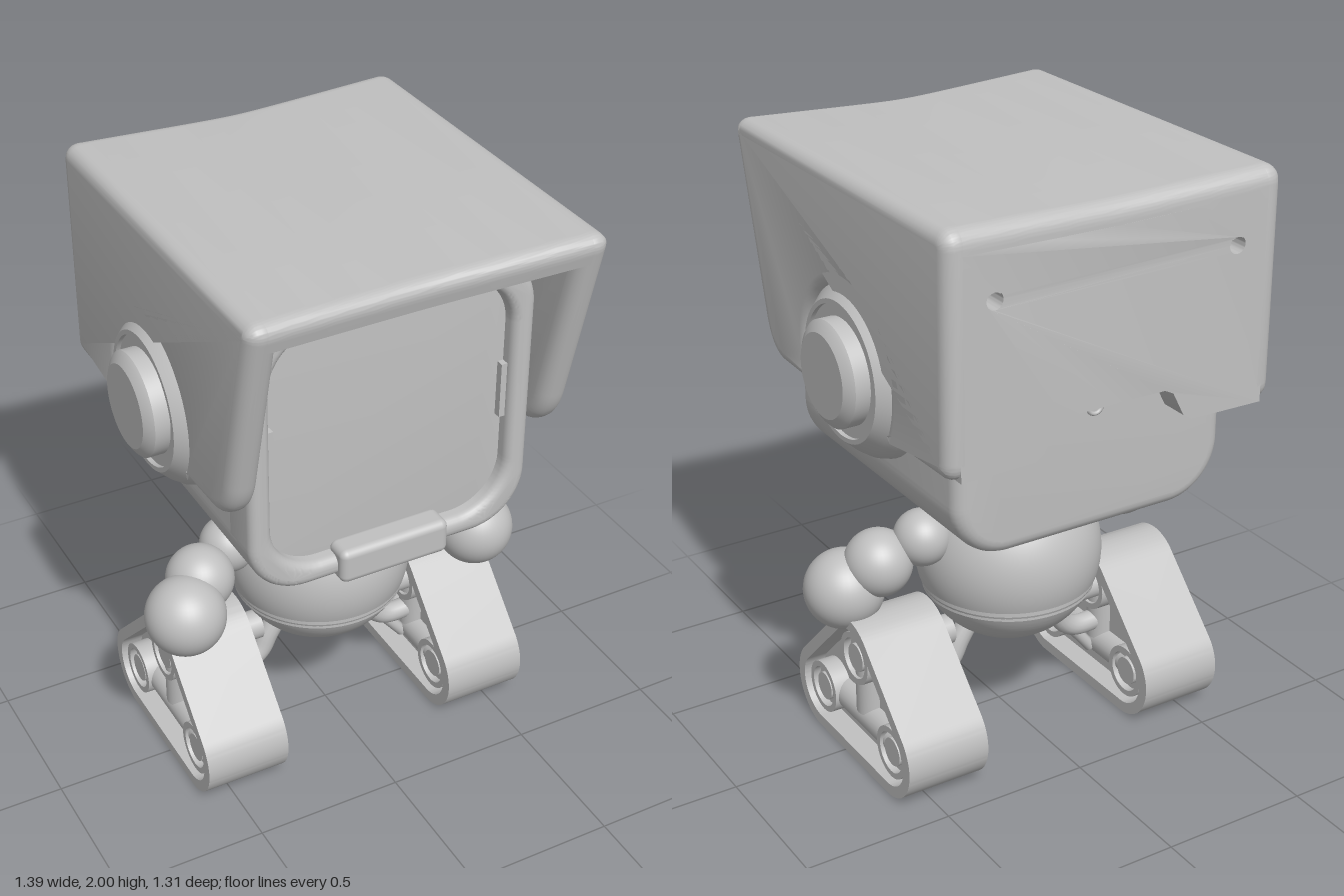
import * as THREE from 'three';
import { toCreasedNormals } from 'three/addons/utils/BufferGeometryUtils.js';
import { RoundedBoxGeometry } from 'three/addons/geometries/RoundedBoxGeometry.js';

const MID = -0.055; // z of the body's centre line

export function createModel() {
  const model = new THREE.Group();
  const grey = new THREE.MeshStandardMaterial({ color: 0xc0c0c0 });
  grey.name = 'light grey';

  const add = (name, geo, parent = model) => {
    const mesh = new THREE.Mesh(geo, grey);
    mesh.name = name;
    parent.add(mesh);
    return mesh;
  };
  // Extrude along z from a to b, bevel kept inside the outline
  const extrude = (shape, a, b, bevel = 0, steps = 1) => {
    const geo = new THREE.ExtrudeGeometry(shape, {
      depth: b - a - 2 * bevel, steps, curveSegments: 20, bevelEnabled: bevel > 0,
      bevelThickness: bevel, bevelSize: bevel, bevelOffset: -bevel, bevelSegments: 5,
    });
    return geo.translate(0, 0, a + bevel);
  };
  // Same along x: the shape's horizontal axis becomes -z
  const extrudeX = (...args) => extrude(...args).rotateY(Math.PI / 2);
  const smooth = (geo, angle = 0.6) => toCreasedNormals(geo, angle);
  const rod = (name, from, to, r, parent = model) => {
    const a = new THREE.Vector3(...from), b = new THREE.Vector3(...to);
    const mesh = add(name, new THREE.CylinderGeometry(r, r, a.distanceTo(b), 24), parent);
    mesh.position.copy(a).add(b).multiplyScalar(0.5);
    mesh.quaternion.setFromUnitVectors(new THREE.Vector3(0, 1, 0), b.sub(a).normalize());
  };
  const roundRect = (S, w, y0, y1, r) => {
    const s = new S();
    s.absarc(w - r, y0 + r, r, -Math.PI / 2, 0);
    s.absarc(w - r, y1 - r, r, 0, Math.PI / 2);
    s.absarc(r - w, y1 - r, r, Math.PI / 2, Math.PI);
    s.absarc(r - w, y0 + r, r, Math.PI, Math.PI * 1.5);
    s.closePath();
    return s;
  };

  // Head with framed, recessed screen
  add('head', smooth(extrude(roundRect(THREE.Shape, 0.485, 0.905, 1.88, 0.19), -0.54, 0.385, 0.045)));
  const frame = roundRect(THREE.Shape, 0.485, 0.905, 1.88, 0.19);
  frame.holes.push(roundRect(THREE.Path, 0.41, 0.975, 1.8, 0.17));
  add('screenFrame', smooth(extrude(frame, 0.27, 0.44, 0.03)));
  add('chinClip', new RoundedBoxGeometry(0.38, 0.12, 0.1, 4, 0.025)).position.set(0, 0.945, 0.42);
  for (const s of [-1, 1])
    add('screenNotch', new THREE.BoxGeometry(0.02, 0.19, 0.03)).position.set(s * 0.4, 1.39, 0.395);
  const socket = add('rearSocket', new THREE.TorusGeometry(0.025, 0.007, 8, 24));
  socket.position.set(0, 1.32, -0.54);

  // Helmet: side walls with an arch for the ear, slanted at the front
  const wall = new THREE.Shape();
  wall.moveTo(-0.37, 1.25);
  wall.absarc(-MID, 1.39, 0.255, Math.PI + 0.582, -0.582, true);
  wall.lineTo(0.6, 1.25);
  wall.quadraticCurveTo(0.655, 1.25, 0.655, 1.31);
  wall.lineTo(0.655, 1.94);
  wall.quadraticCurveTo(0.655, 2, 0.595, 2);
  wall.lineTo(-0.605, 2);
  wall.quadraticCurveTo(-0.667, 2, -0.65, 1.94);
  wall.lineTo(-0.51, 1.39);
  wall.quadraticCurveTo(-0.475, 1.25, -0.37, 1.25);
  add('helmetLeftWall', smooth(extrudeX(wall, 0.48, 0.58, 0.045)));
  add('helmetRightWall', smooth(extrudeX(wall, -0.58, -0.48, 0.045)));

  // Slight inward fold of roof and back towards the middle
  const fold = (geo) => {
    const p = geo.attributes.position;
    for (let i = 0; i < p.count; i++) {
      const x = p.getX(i), z = p.getZ(i);
      const d = Math.max(0, 1 - (Math.hypot(x, 0.08) - 0.08) / 0.455);
      if (p.getY(i) > 1.8) p.setY(i, p.getY(i) - 0.015 * d);
      p.setZ(i, z - (z > 0 ? 0.03 : -0.015) * d);
    }
    geo.computeVertexNormals();
    return smooth(geo);
  };
  const roof = new THREE.Shape();
  roof.moveTo(-0.642, 1.91);
  roof.lineTo(0.56, 1.91);
  roof.lineTo(0.56, 1.88);
  roof.lineTo(0.655, 1.88);
  roof.lineTo(0.655, 1.94);
  roof.quadraticCurveTo(0.655, 2, 0.595, 2);
  roof.lineTo(-0.605, 2);
  roof.quadraticCurveTo(-0.667, 2, -0.65, 1.94);
  roof.closePath();
  add('helmetRoof', fold(extrudeX(roof, -0.535, 0.535, 0, 24)));

  const back = new THREE.Shape([
    [-0.535, 1.25], [-0.28, 1.25], [-0.25, 1.27], [-0.21, 1.35], [-0.18, 1.365], [0, 1.365],
    [0.18, 1.365], [0.21, 1.35], [0.25, 1.27], [0.28, 1.25], [0.535, 1.25],
    [0.535, 1.93], [0.25, 1.93], [0, 1.93], [-0.25, 1.93], [-0.535, 1.93],
  ].map(([x, y]) => new THREE.Vector2(x, y)));
  for (const s of [-1, 1]) {
    const hole = new THREE.Path();
    hole.absarc(s * 0.42, 1.78, 0.028, 0, Math.PI * 2, true);
    back.holes.push(hole);
  }
  add('helmetBack', fold(extrude(back, -0.655, -0.56)));

  // Ears: domed dish with a chamfered cap
  const dish = [[0.295, 0.44], [0.295, 0.49], [0.285, 0.525], [0.262, 0.56], [0.225, 0.6], [0.21, 0.6],
    [0.21, 0.585], [0.17, 0.585], [0.17, 0.635], [0.16, 0.645], [0.135, 0.66], [0, 0.66]]
    .map(([r, x]) => new THREE.Vector2(r, x));
  for (const s of [-1, 1]) {
    const ear = add(s > 0 ? 'leftEar' : 'rightEar',
      smooth(new THREE.LatheGeometry(dish, 64).rotateZ(-s * Math.PI / 2), 0.45));
    ear.position.set(0, 1.39, MID);
  }

  // Neck and rear strut
  rod('neck', [0, 0.84, MID], [0, 0.93, MID], 0.075);
  rod('neckStrut', [0, 0.94, -0.32], [0, 0.78, -0.18], 0.025);

  // Body: ball in two halves, flattened on top and at the slanted chest
  const R = 0.31, chest = new THREE.Vector3(0, 0.86, 0.512).normalize();
  const half = (t0, t1) => {
    const geo = new THREE.SphereGeometry(R, 72, 48, 0, Math.PI * 2, t0, t1 - t0);
    const p = geo.attributes.position, v = new THREE.Vector3();
    for (let i = 0; i < p.count; i++) {
      v.fromBufferAttribute(p, i);
      if (v.dot(chest) > 0.245) v.multiplyScalar(0.245 / v.dot(chest));
      if (v.y > 0.24) v.multiplyScalar(0.24 / v.y);
      p.setXYZ(i, v.x, v.y, v.z);
    }
    return smooth(geo, 0.35);
  };
  const body = new THREE.Group();
  body.name = 'body';
  body.position.set(0, 0.63, MID);
  model.add(body);
  add('upperBody', half(0, Math.acos(-0.095 / R)), body);
  add('lowerBody', half(Math.acos(-0.112 / R), Math.PI), body);
  add('bodySeam', new THREE.CylinderGeometry(0.286, 0.286, 0.05, 64), body).position.y = -0.104;

  // Arms: chains of growing balls
  const arms = {
    leftArm: [[0.325, 0.75, MID, 0.095], [0.465, 0.68, -0.015, 0.113], [0.56, 0.585, 0.045, 0.133]],
    rightArm: [[-0.332, 0.755, MID, 0.095], [-0.47, 0.715, 0.02, 0.113], [-0.565, 0.66, 0.11, 0.133]],
  };
  for (const [name, balls] of Object.entries(arms))
    for (const [x, y, z, r] of balls)
      add(name, new THREE.SphereGeometry(r, 40, 28)).position.set(x, y, z);

  // Tracks: rounded triangles with a recessed web, three wheels and a T-shaped brace
  const wheels = [[-0.175, 0.15], [0.285, 0.15], [-MID, 0.38]];
  const triangle = (S, r) => {
    const s = new S(), q = Math.PI / 4;
    s.absarc(...wheels[0], r, 3 * q, 6 * q);
    s.absarc(...wheels[1], r, -2 * q, q);
    s.absarc(...wheels[2], r, q, 3 * q);
    s.closePath();
    return s;
  };
  const belt = triangle(THREE.Shape, 0.147);
  belt.holes.push(triangle(THREE.Path, 0.108));
  const hub = [[0.09, -0.13], [0.09, 0.13], [0.07, 0.13], [0.07, 0.105], [0.048, 0.105], [0.048, 0.125], [0, 0.125]]
    .map(([r, x]) => new THREE.Vector2(r, x));

  for (const s of [-1, 1]) {
    const leg = new THREE.Group();
    leg.name = s > 0 ? 'leftLeg' : 'rightLeg';
    model.add(leg);
    const c = s * 0.455;
    add('trackBelt', smooth(extrudeX(belt, c - 0.145, c + 0.145)), leg);
    add('trackWeb', smooth(extrudeX(triangle(THREE.Shape, 0.12), c - 0.07, c + 0.07)), leg);
    for (const [u, y] of wheels)
      for (const side of [-1, 1]) {
        const wheel = add('wheel', smooth(new THREE.LatheGeometry(hub, 40).rotateZ(-side * Math.PI / 2)), leg);
        wheel.position.set(c, y, -u);
      }
    for (const side of [-1, 1]) {
      const x = c + side * 0.065;
      rod('brace', [x, 0.147, 0.175], [x, 0.147, -0.285], 0.055, leg);
      rod('bracePost', [x, 0.38, MID], [x, 0.17, MID], 0.055, leg);
    }
    // Bent strut from body to track, axle and small stay
    const bend = new THREE.CatmullRomCurve3([[0.13, 0.42], [0.19, 0.33], [0.225, 0.265], [0.27, 0.235], [0.39, 0.235]]
      .map(([x, y]) => new THREE.Vector3(s * x, y, MID)));
    add('legStrut', new THREE.TubeGeometry(bend, 32, 0.036, 16), leg);
    rod('legAxle', [s * 0.23, 0.38, MID], [s * 0.4, 0.38, MID], 0.05, leg);
    rod('legStay', [s * 0.25, 0.24, MID], [s * 0.34, 0.13, MID], 0.02, leg);
  }
  return model;
}
